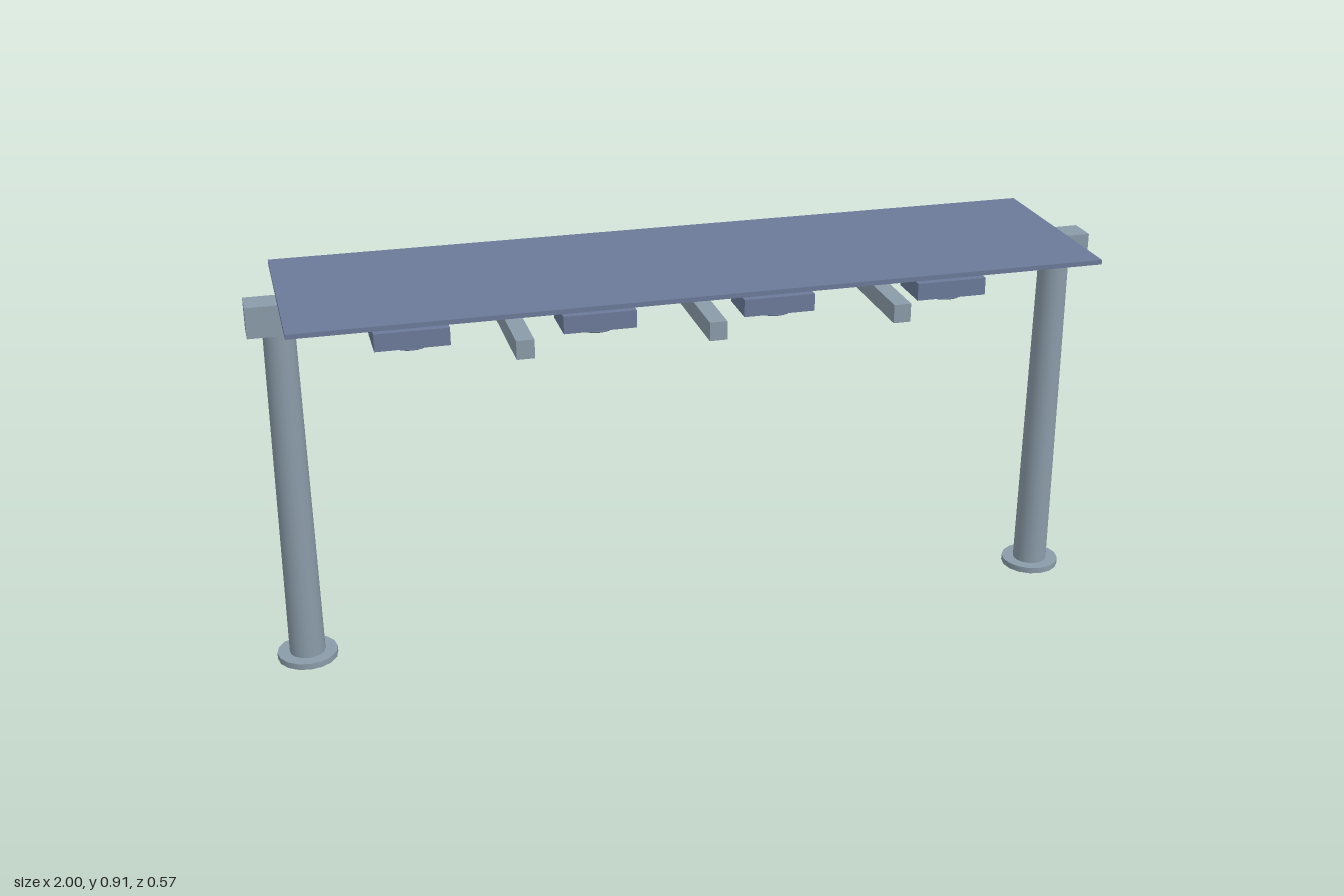
import * as THREE from 'three';

export function createModel() {
  const model = new THREE.Group();
  const steel = new THREE.MeshStandardMaterial({ color: 0x8a9ba8 });
  const blue = new THREE.MeshStandardMaterial({ color: 0x6b7a99 });

  const add = (name, geometry, material, x, y, z = 0) => {
    const mesh = new THREE.Mesh(geometry, material);
    mesh.name = name;
    mesh.position.set(x, y, z);
    model.add(mesh);
    return mesh;
  };

  // Tapered columns on round foot plates
  for (const [side, s] of [['left', 1], ['right', -1]]) {
    add(side + 'FootPlate', new THREE.CylinderGeometry(0.071, 0.071, 0.015, 16), steel, s * 0.929, 0.0075);
    add(side + 'Column', new THREE.CylinderGeometry(0.036, 0.042, 0.811, 16), steel, s * 0.929, 0.4205);
  }

  // Main beam with the roof panel resting on it
  add('mainBeam', new THREE.BoxGeometry(2, 0.072, 0.071), steel, 0, 0.861);
  add('roofPanel', new THREE.BoxGeometry(1.857, 0.011, 0.5), blue, 0, 0.9025);

  // Cross beams
  for (const x of [-0.429, 0, 0.429])
    add('crossBeam', new THREE.BoxGeometry(0.04, 0.043, 0.571), steel, x, 0.8375);

  // Hanging housings, each with a thin ring underneath
  for (const x of [-0.643, -0.214, 0.214, 0.643]) {
    add('housing', new THREE.BoxGeometry(0.171, 0.042, 0.114), blue, x, 0.796);
    const ring = add('housingRing', new THREE.TorusGeometry(0.039, 0.007, 8, 24), blue, x, 0.768);
    ring.rotation.x = Math.PI / 2;
    ring.scale.z = 0.5;
  }

  return model;
}
